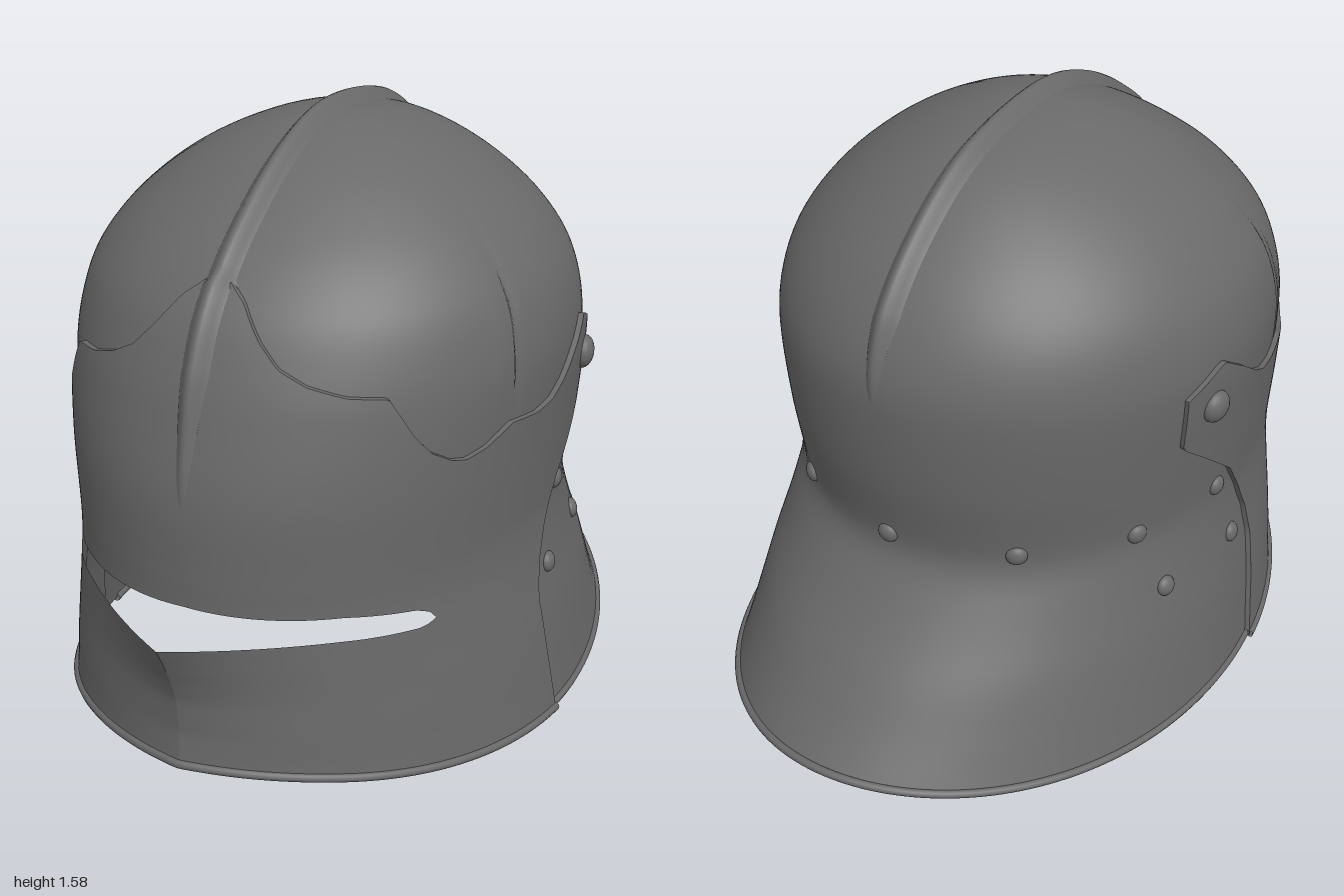
import * as THREE from 'three';
import { mergeVertices } from 'three/addons/utils/BufferGeometryUtils.js';

const steel = new THREE.MeshStandardMaterial({ color: 0x696969, side: THREE.DoubleSide });
steel.name = 'dark steel';

const TOP = 1.555;     // crown of the skull
const PLATE = 0.014;   // how far the visor stands off the skull

// Horizontal sections: height, centre z, front radius, back radius, half width
const SECTIONS = [
  [0, 0, 0.9, 1.09, 0.69],
  [0.12, 0.016, 0.87, 1.0, 0.675],
  [0.2, 0.027, 0.855, 0.94, 0.665],
  [0.3, 0.04, 0.835, 0.87, 0.65],
  [0.4, 0.053, 0.82, 0.79, 0.632],
  [0.5, 0.067, 0.8, 0.72, 0.618],
  [0.55, 0.075, 0.79, 0.695, 0.614],
  [0.6, 0.08, 0.785, 0.69, 0.613],
  [0.8, 0.08, 0.775, 0.72, 0.628],
  [1.0, 0.08, 0.725, 0.73, 0.642],
  [1.1, 0.08, 0.688, 0.72, 0.632],
  [1.2, 0.08, 0.637, 0.68, 0.6],
  [1.3, 0.08, 0.55, 0.61, 0.53],
  [1.4, 0.08, 0.42, 0.5, 0.42],
  [1.5, 0.08, 0.24, 0.33, 0.245],
  [TOP, 0.08, 0, 0, 0],
];

// Smooth interpolation; radii are blended as squares so the crown closes round
function section(y) {
  const n = SECTIONS.length;
  let i = 0;
  while (i < n - 2 && y > SECTIONS[i + 1][0]) i++;
  const val = (k, c) => (c === 1 ? SECTIONS[k][c] : SECTIONS[k][c] ** 2);
  const slope = (k, c) => {
    const a = Math.max(k - 1, 0), b = Math.min(k + 1, n - 1);
    return (val(b, c) - val(a, c)) / (SECTIONS[b][0] - SECTIONS[a][0]);
  };
  const h = SECTIONS[i + 1][0] - SECTIONS[i][0];
  const t = THREE.MathUtils.clamp((y - SECTIONS[i][0]) / h, 0, 1), t2 = t * t, t3 = t2 * t;
  return [1, 2, 3, 4].map((c) => {
    const v = (2 * t3 - 3 * t2 + 1) * val(i, c) + (t3 - 2 * t2 + t) * h * slope(i, c)
      + (3 * t2 - 2 * t3) * val(i + 1, c) + (t3 - t2) * h * slope(i + 1, c);
    return c === 1 ? v : Math.sqrt(Math.max(0, v));
  });
}

// Point on the helmet: angle 0 is the front, PI the back
function surface(angle, y, off = 0) {
  const [zc, f, b, w] = section(y);
  const c = Math.cos(angle);
  const flare = THREE.MathUtils.clamp((0.5 - y) / 0.4, 0, 1);
  const narrow = c < 0 ? 1 - 0.1 * flare * c * c : 1;
  return new THREE.Vector3((w + off) * Math.sin(angle) * narrow, y, zc + ((c > 0 ? f : b) + off) * c);
}

// Straight-line lookup in [x, y] pairs
function lookup(table, x) {
  let i = 0;
  while (i < table.length - 2 && x > table[i + 1][0]) i++;
  const [x0, y0] = table[i], [x1, y1] = table[i + 1];
  return THREE.MathUtils.lerp(y0, y1, THREE.MathUtils.clamp((x - x0) / (x1 - x0), 0, 1));
}

// Grid of points from fn(u, v), welded and smooth
function patch(name, nu, nv, fn) {
  const pos = [], index = [];
  for (let i = 0; i <= nu; i++) for (let j = 0; j <= nv; j++) pos.push(...fn(i / nu, j / nv).toArray());
  for (let i = 0; i < nu; i++) for (let j = 0; j < nv; j++) {
    const a = i * (nv + 1) + j, b = a + nv + 1;
    index.push(a, b, a + 1, b, b + 1, a + 1);
  }
  let g = new THREE.BufferGeometry();
  g.setAttribute('position', new THREE.Float32BufferAttribute(pos, 3));
  g.setIndex(index);
  g = mergeVertices(g, 1e-5);
  g.computeVertexNormals();
  return part(name, g);
}

function part(name, geometry) {
  const mesh = new THREE.Mesh(geometry, steel);
  mesh.name = name;
  return mesh;
}

const rim = (angle) => 0.012 + 0.106 * Math.cos(angle) ** 2;

// Visor outlines; s runs from 0 at the middle to 1 at the rear edge
const REAR = [[0, 1.41], [0.2, 1.4], [0.35, 1.4], [0.45, 1.44], [0.55, 1.515], [0.65, 1.61],
  [0.78, 1.82], [0.85, 1.94], [1.3, 1.95]];
const BROW = [[0, 1.277], [0.03, 1.275], [0.07, 1.24], [0.113, 1.17], [0.155, 1.115], [0.21, 1.08], [0.28, 1.055],
  [0.356, 1.045], [0.41, 0.95], [0.45, 0.9], [0.495, 0.868], [0.525, 0.86], [0.567, 0.872], [0.624, 0.91],
  [0.7, 0.9], [0.75, 0.91], [0.79, 0.94], [0.846, 1.0], [0.905, 1.055], [0.92, 1.05], [1, 1.0]];
const SLIT_TOP = [[0, 0.53], [0.4, 0.517], [0.58, 0.495], [0.62, 0.48], [0.64, 0.46], [1, 0.43]];
const SLIT_BOTTOM = [[0, 0.475], [0.6, 0.446], [0.625, 0.45], [0.64, 0.46], [1, 0.43]];
const PROW = [[0.12, 0.03], [0.2, 0.025], [0.3, 0.04], [0.36, 0.06], [0.42, 0.088], [0.475, 0.12]];

function visorPoint(s, y, off = PLATE) {
  return surface(s * lookup(REAR, y), y, off);
}
function lowerPoint(s, y) {
  const p = visorPoint(s, y);
  p.z += lookup(PROW, y) * Math.max(0, 1 - Math.abs(p.x) / 0.36) ** 1.6;
  return p;
}
const visorRim = (s) => rim(s * 1.405);

function bead(name, points) {
  return part(name, new THREE.TubeGeometry(new THREE.CatmullRomCurve3(points), 120, 0.011, 8));
}

// Domed rivet seated on the surface at a given height and z
function rivet(name, z, y, side, r, off) {
  const [zc, f, b] = section(y);
  const c = (z - zc) / ((z > zc ? f : b) + off);
  const angle = side * Math.acos(THREE.MathUtils.clamp(c, -1, 1));
  const p = surface(angle, y, off), e = 0.01;
  const normal = surface(angle, y + e, off).sub(p).cross(surface(angle + e, y, off).sub(p)).normalize();
  if (normal.x * p.x + normal.z * (p.z - zc) < 0) normal.negate();
  const m = part(name, new THREE.SphereGeometry(r, 20, 12));
  m.scale.z = 0.65;
  m.position.copy(p);
  m.lookAt(p.clone().add(normal));
  return m;
}

// Raised crest along the middle, a from -1 (front) over the crown to 1 (back)
function crestPoint(a, v) {
  const mid = (t) => {
    const y = TOP - (TOP - (t < 0 ? 0.72 : 1.0)) * (1 - Math.cos(Math.min(1, Math.abs(t)) * Math.PI / 2));
    return surface(t < 0 ? 0 : Math.PI, y, t < 0 && y < 1.277 ? PLATE : 0);
  };
  const p = mid(a);
  const d = mid(Math.min(1, a + 0.01)).sub(mid(Math.max(-1, a - 0.01)));
  const normal = new THREE.Vector3(0, -d.z, d.y).normalize();
  if (normal.y * (p.y - 0.8) + normal.z * (p.z - 0.08) < 0) normal.negate();
  const k = Math.min(1, (1 - Math.abs(a)) * 3.5);
  const x = (v * 2 - 1) * (0.02 + 0.028 * k);
  const h = 0.034 * k * Math.sin(v * Math.PI) ** 2 - 0.006;
  p.addScaledVector(normal, h);
  p.x = x;
  return p;
}

export function createModel() {
  const helmet = new THREE.Group();
  helmet.name = 'helmet';

  // Skull with the flared neck guard; open at the face
  const FACE = [[1.2, 0.54], [1.26, 0]];
  helmet.add(patch('skullAndNeckGuard', 160, 72, (u, v) => {
    const angle = (u * 2 - 1) * Math.PI, a = Math.abs(angle);
    const low = Math.max(lookup(FACE, a), rim(angle));
    return surface(angle, low + (TOP - low) * Math.sin(v * Math.PI / 2));
  }));
  helmet.add(patch('crest', 120, 12, (u, v) => crestPoint(u * 2 - 1, v)));

  // Upper visor with its shaped brow edge
  const brow = (s) => lookup(BROW, Math.abs(s));
  const visor = new THREE.Group();
  visor.name = 'visor';
  visor.add(patch('upperVisor', 240, 36, (u, v) => {
    const s = u * 2 - 1;
    return visorPoint(s, THREE.MathUtils.lerp(lookup(SLIT_TOP, Math.abs(s)), brow(s), v));
  }));
  visor.add(patch('browEdge', 240, 1, (u, v) => visorPoint(u * 2 - 1, brow(u * 2 - 1), PLATE * v)));

  // Lower visor: two halves meeting at the prow, and the rear edges
  for (const side of [-1, 1]) {
    visor.add(patch('lowerVisor', 100, 24, (u, v) => {
      const s = u * side;
      return lowerPoint(s, THREE.MathUtils.lerp(visorRim(s), lookup(SLIT_BOTTOM, u), v));
    }));
    visor.add(patch('rearEdge', 60, 1, (u, v) => visorPoint(side, 0.012 + u * 0.988, PLATE * v)));
  }
  const rimPoints = [];
  for (let i = -30; i <= 30; i++) rimPoints.push(lowerPoint(i / 30, visorRim(i / 30)));
  visor.add(bead('visorRim', rimPoints));
  helmet.add(visor);

  // Rolled rim of the neck guard
  const neck = [];
  for (let i = 0; i <= 60; i++) {
    const a = THREE.MathUtils.lerp(1.36, 2 * Math.PI - 1.36, i / 60);
    neck.push(surface(a, rim(a)));
  }
  helmet.add(bead('neckGuardRim', neck));

  // Visor pivots and lining rivets
  for (const side of [-1, 1]) {
    helmet.add(rivet('visorPivot', -0.09, 0.94, side, 0.044, PLATE));
    for (const [z, y] of [[0.01, 0.615], [-0.27, 0.61], [-0.51, 0.615], [0.09, 0.41], [-0.21, 0.42]]) {
      helmet.add(rivet('rivet', z, y, side, 0.028, 0));
    }
  }
  helmet.add(rivet('backRivet', -0.7, 0.62, 1, 0.028, 0));
  return helmet;
}
